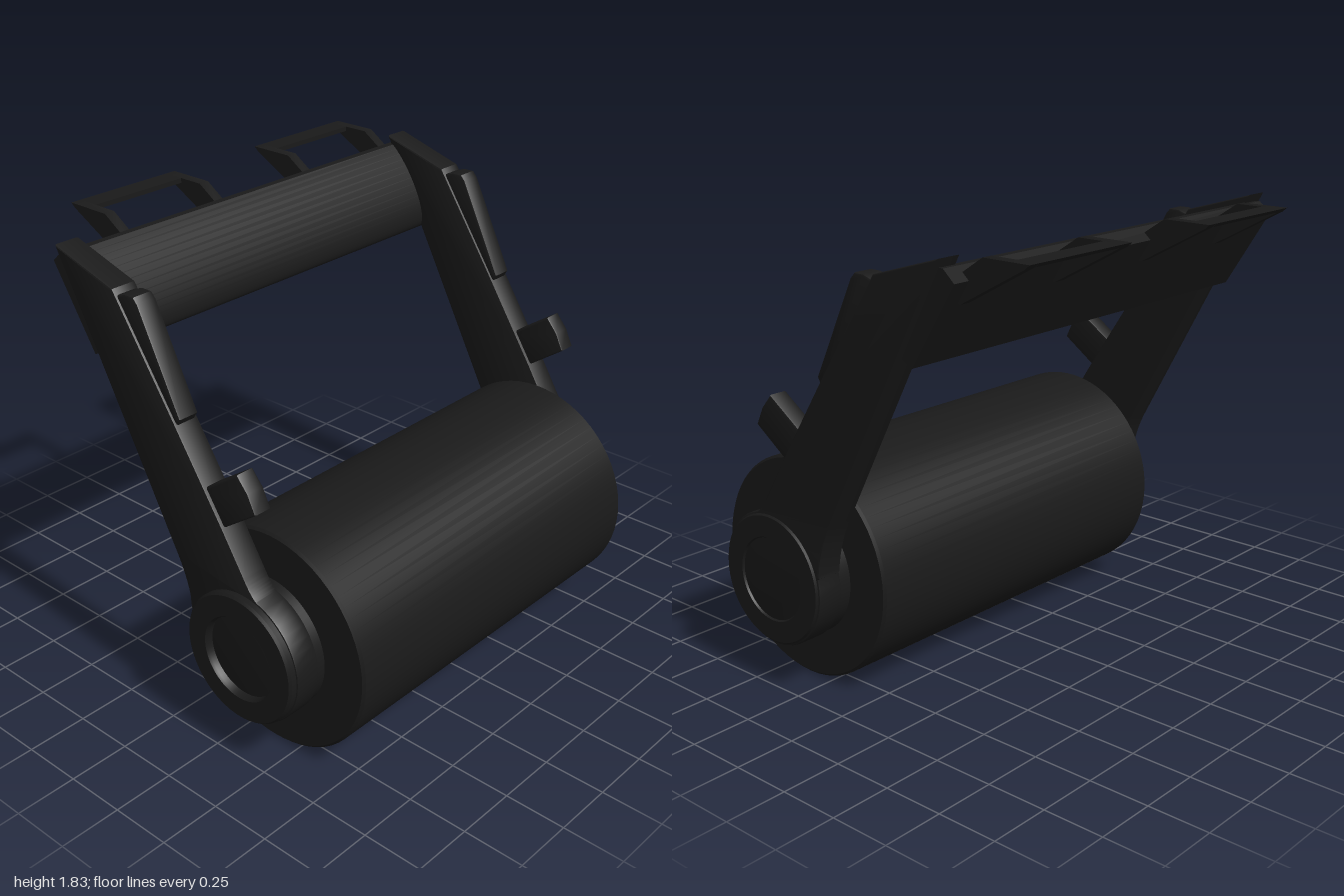
import * as THREE from 'three';
import { toCreasedNormals } from 'three/addons/utils/BufferGeometryUtils.js';

const material = new THREE.MeshStandardMaterial({ color: 0x1a1a1a });
const AXLE = { x: 0.38, y: 0.46 };

// Extrudes a side profile along z between z0 and z1, with a small edge bevel
function slab(name, shape, z0, z1, bevel = 0) {
  const geo = new THREE.ExtrudeGeometry(shape, {
    depth: z1 - z0 - 2 * bevel, curveSegments: 16,
    bevelEnabled: bevel > 0, bevelThickness: bevel, bevelSize: bevel,
    bevelOffset: -bevel, bevelSegments: 2,
  });
  geo.translate(0, 0, z0 + bevel);
  const mesh = new THREE.Mesh(toCreasedNormals(geo, 0.6), material);
  mesh.name = name;
  return mesh;
}

const polygon = (points) => new THREE.Shape(points.map(([x, y]) => new THREE.Vector2(x, y)));

// Revolves a [radius, z] profile around the axle
function turned(name, profile) {
  const geo = new THREE.LatheGeometry(profile.map(([r, z]) => new THREE.Vector2(r, z)), 64);
  geo.rotateX(Math.PI / 2);
  const mesh = new THREE.Mesh(toCreasedNormals(geo, 0.6), material);
  mesh.position.set(AXLE.x, AXLE.y, 0);
  mesh.name = name;
  return mesh;
}

// Side arm: slanted bar that ends in a collar around the hub
function armShape() {
  const s = new THREE.Shape();
  s.moveTo(-0.53, 1.825);
  s.lineTo(-0.42, 1.62);
  s.lineTo(0.04, 0.76);
  s.quadraticCurveTo(0.1, 0.65, 0.112, 0.53);
  s.absarc(AXLE.x, AXLE.y, 0.272, Math.PI - 0.25, Math.PI * 2 + 1.3, false);
  s.quadraticCurveTo(0.425, 0.74, 0.39, 0.8);
  s.lineTo(0.29, 0.96);
  s.lineTo(0.06, 1.31);
  s.lineTo(-0.225, 1.735);
  s.closePath();
  return s;
}

// Everything carried by one arm, centred on z
function createArm(name, z) {
  const arm = new THREE.Group();
  arm.name = name;
  arm.add(slab('armPlate', armShape(), z - 0.055, z + 0.055, 0.008));

  const pad = polygon([
    [-0.25, 1.69], [0.0, 1.32], [0.07, 1.295], [0.085, 1.32],
    [-0.105, 1.705], [-0.125, 1.727], [-0.17, 1.727], [-0.22, 1.71],
  ]);
  arm.add(slab('armPad', pad, z - 0.045, z + 0.045, 0.008));

  const peg = polygon([
    [0.14, 1.05], [0.23, 0.92], [0.29, 0.962], [0.445, 1.07],
    [0.41, 1.142], [0.36, 1.2], [0.2, 1.092],
  ]);
  arm.add(slab('armPeg', peg, z - 0.04, z + 0.04, 0.008));
  return arm;
}

// Open rectangular hook frame between z0 and z1
function createHook(name, z0, z1) {
  const hook = new THREE.Group();
  hook.name = name;
  const side = polygon([
    [-0.84, 1.83], [-0.82, 1.813], [-0.54, 1.66], [-0.49, 1.66],
    [-0.5, 1.75], [-0.53, 1.757], [-0.64, 1.83],
  ]);
  const bar = polygon([[-0.84, 1.83], [-0.825, 1.815], [-0.75, 1.81], [-0.75, 1.83]]);
  hook.add(slab('hookSide', side, z0, z0 + 0.045));
  hook.add(slab('hookSide', side, z1 - 0.045, z1));
  hook.add(slab('hookBar', bar, z0 + 0.045, z1 - 0.045));
  return hook;
}

export function createModel() {
  const model = new THREE.Group();
  model.name = 'rollerWithFrame';

  // Main drum with softly chamfered rims
  model.add(turned('roller', [
    [0, -0.83], [0.445, -0.83], [0.455, -0.82], [0.455, 0.81], [0.445, 0.82], [0, 0.82],
  ]));

  // Hollow hubs on both ends
  for (const side of [1, -1]) {
    const profile = [
      [0.265, 0.81], [0.265, 0.99], [0.257, 1.0], [0.172, 1.0],
      [0.166, 0.99], [0.166, 0.86], [0, 0.86],
    ];
    const hub = turned(side > 0 ? 'frontHub' : 'backHub', profile);
    if (side < 0) hub.rotation.y = Math.PI;
    model.add(hub);
  }

  // Arms
  model.add(createArm('frontArm', 0.913), createArm('backArm', -0.937));

  // Crossbar with a flat back and a rounded front
  const bar = new THREE.Shape();
  bar.moveTo(-0.58, 1.745);
  bar.lineTo(-0.38, 1.428);
  bar.lineTo(-0.335, 1.452);
  bar.bezierCurveTo(-0.29, 1.51, -0.4, 1.71, -0.5, 1.79);
  bar.lineTo(-0.53, 1.79);
  bar.closePath();
  model.add(slab('crossbar', bar, -0.965, 0.94));

  // Hooks on the back of the crossbar
  model.add(createHook('frontHook', 0.105, 0.64), createHook('backHook', -0.895, -0.36));
  return model;
}
